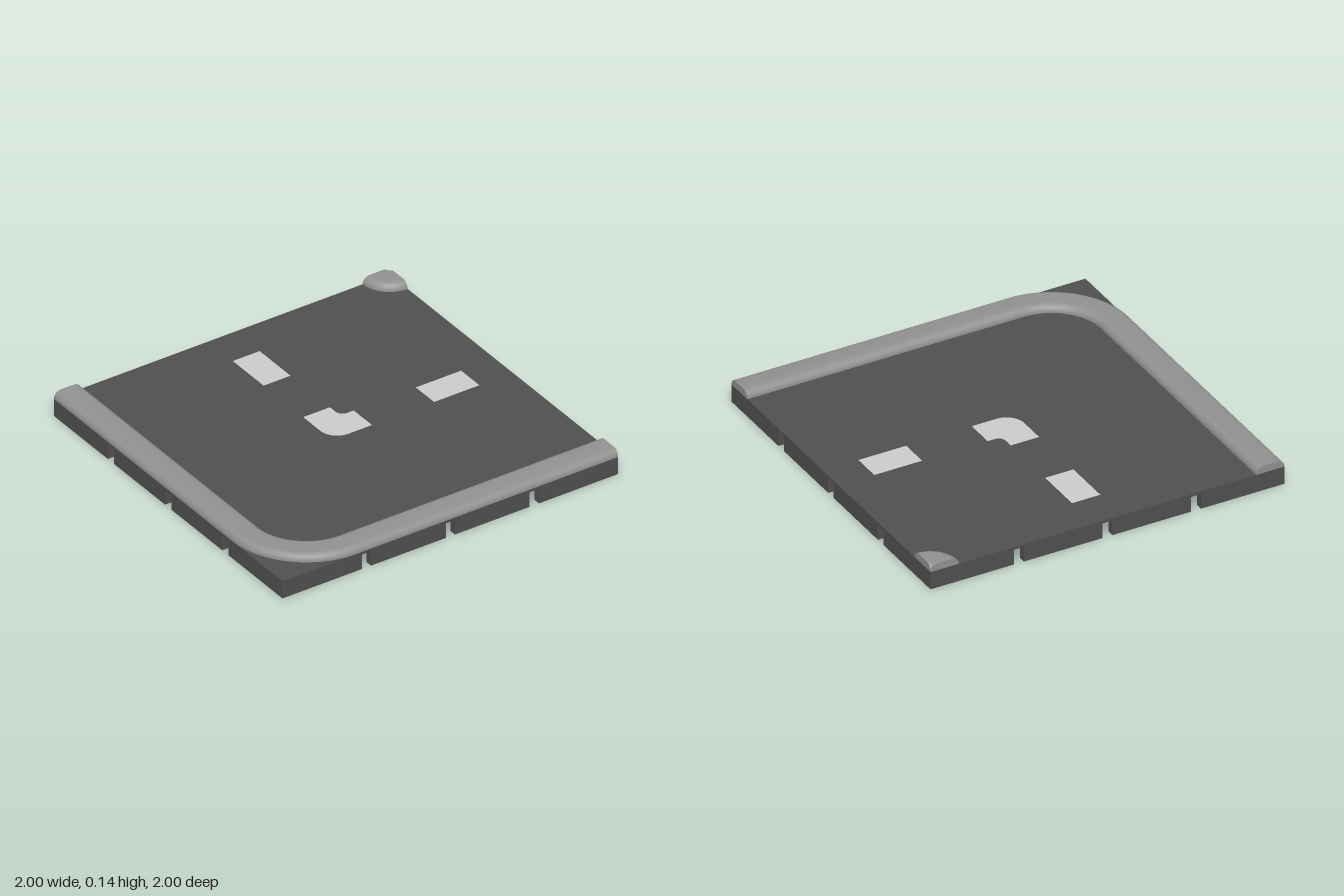
import * as THREE from 'three';
import { toCreasedNormals } from 'three/addons/utils/BufferGeometryUtils.js';

const BASE_H = 0.1, SLOT_H = 0.085;      // tile thickness, connector slot height
const KERB_W = 0.16, KERB_H = 0.04, BEND = 0.44; // kerb size and outer bend radius

const baseMat = new THREE.MeshStandardMaterial({ color: 0x505050 });
const kerbMat = new THREE.MeshStandardMaterial({ color: 0x919191 });
const markMat = new THREE.MeshStandardMaterial({ color: 0xcccccc });

function add(parent, name, geometry, material, x = 0, y = 0, z = 0) {
  const mesh = new THREE.Mesh(geometry, material);
  mesh.name = name;
  mesh.position.set(x, y, z);
  parent.add(mesh);
  return mesh;
}

// Square outline with three flared connector slots on each edge
function slottedOutline() {
  const points = [];
  const slot = [[-0.0275, 0], [-0.0275, 0.04], [-0.1, 0.12], [0.1, 0.12], [0.0275, 0.04], [0.0275, 0]];
  for (let side = 0; side < 4; side++) {
    const edge = [[-1, -1]];
    for (const centre of [-0.5, 0, 0.5]) {
      for (const [u, depth] of slot) edge.push([centre + u, depth - 1]);
    }
    for (const [x, y] of edge) {
      points.push(new THREE.Vector2(x, y).rotateAround(new THREE.Vector2(), side * Math.PI / 2));
    }
  }
  return new THREE.Shape(points);
}

// Kerb cross-section: flat top with quarter-round shoulders
function kerbShape() {
  const s = new THREE.Shape();
  s.moveTo(0, 0);
  s.lineTo(KERB_W, 0);
  s.absarc(KERB_W - KERB_H, 0, KERB_H, 0, Math.PI / 2, false);
  s.absarc(KERB_H, 0, KERB_H, Math.PI / 2, Math.PI, false);
  return s;
}

function kerbRun(length) {
  const g = new THREE.ExtrudeGeometry(kerbShape(), { depth: length, bevelEnabled: false, curveSegments: 10 });
  return toCreasedNormals(g, 0.6);
}

// Quarter turn of the kerb section about a vertical axis
function kerbBend(innerRadius) {
  const profile = [];
  for (const [centre, start] of [[KERB_W - KERB_H, 0], [KERB_H, Math.PI / 2]]) {
    for (let i = 0; i <= 10; i++) {
      const a = start + i / 10 * Math.PI / 2;
      profile.push(new THREE.Vector2(
        Math.max(0, innerRadius + centre + KERB_H * Math.cos(a)), KERB_H * Math.sin(a)));
    }
  }
  return new THREE.LatheGeometry(profile, 32, -Math.PI / 2, Math.PI / 2);
}

function flat(shape) {
  return new THREE.ShapeGeometry(shape, 10).rotateX(-Math.PI / 2);
}

export function createModel() {
  const model = new THREE.Group();
  model.name = 'roadTile';

  // Base: slotted lower layer under a solid top slab
  const base = new THREE.Group();
  base.name = 'base';
  model.add(base);
  const lower = new THREE.ExtrudeGeometry(slottedOutline(), { depth: SLOT_H, bevelEnabled: false });
  add(base, 'slottedLayer', lower.rotateX(-Math.PI / 2), baseMat);
  const slabH = BASE_H - SLOT_H;
  add(base, 'topSlab', new THREE.BoxGeometry(2, slabH, 2), baseMat, 0, SLOT_H + slabH / 2, 0);

  // Outer kerb: right run, front run and the bend between them
  const kerb = new THREE.Group();
  kerb.name = 'outerKerb';
  kerb.position.y = BASE_H;
  model.add(kerb);
  const run = 2 - BEND;
  add(kerb, 'sideKerb', kerbRun(run), kerbMat, -1, 0, -1);
  add(kerb, 'frontKerb', kerbRun(run).rotateY(Math.PI / 2), kerbMat, BEND - 1, 0, 1);
  add(kerb, 'kerbBend', kerbBend(BEND - KERB_W), kerbMat, BEND - 1, 0, 1 - BEND);

  // Inner corner kerb: rounded quarter with flat cut faces
  const corner = new THREE.Group();
  corner.name = 'cornerKerb';
  corner.position.y = BASE_H;
  model.add(corner);
  const cap = () => new THREE.ShapeGeometry(kerbShape(), 10);
  add(corner, 'cornerRound', kerbBend(0), kerbMat, 1, 0, -1);
  add(corner, 'backCutFace', cap().rotateY(Math.PI), kerbMat, 1, 0, -1);
  add(corner, 'sideCutFace', cap().rotateY(Math.PI / 2), kerbMat, 1, 0, KERB_W - 1);

  // Lane markings: two dashes and a curved centre dash
  const markings = new THREE.Group();
  markings.name = 'laneMarkings';
  markings.position.y = BASE_H + 0.001;
  model.add(markings);
  const dash = (w, d) => new THREE.PlaneGeometry(w, d).rotateX(-Math.PI / 2);
  add(markings, 'backDash', dash(0.16, 0.27), markMat, 0, 0, -0.65);
  add(markings, 'sideDash', dash(0.27, 0.16), markMat, 0.665, 0, 0);
  const turn = new THREE.Shape();
  turn.moveTo(0.16, -0.08);
  turn.lineTo(0.16, 0.08);
  turn.lineTo(0.12, 0.08);
  turn.absarc(0.12, 0.12, 0.04, -Math.PI / 2, -Math.PI, true);
  turn.lineTo(0.08, 0.17);
  turn.lineTo(-0.08, 0.17);
  turn.lineTo(-0.08, 0.02);
  turn.absarc(0.02, 0.02, 0.1, Math.PI, Math.PI * 1.5, false);
  add(markings, 'turnDash', flat(turn), markMat);

  return model;
}
